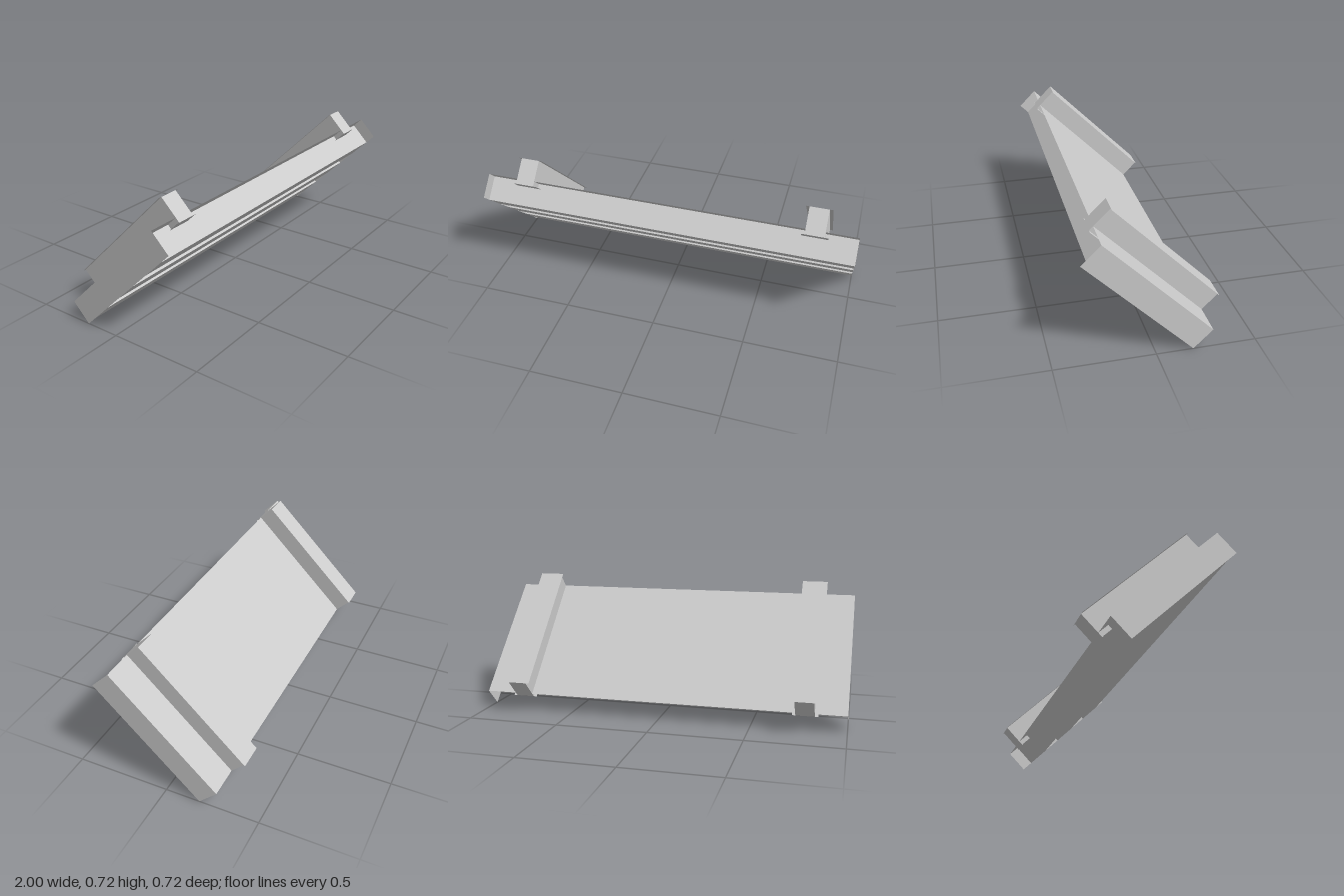
import * as THREE from 'three';

const LENGTH = 0.769;   // along the slope
const SKIN = -0.0095;   // depth of the deck sheet
const UNDER = 0.1245;   // depth of the underside
const TOP = -0.1245;    // depth of the outer rail flange
const LOWER = 0.0185;   // depth of the inner rail flange

export function createModel() {
  const model = new THREE.Group();
  const solid = new THREE.MeshStandardMaterial({ color: 0xcccccc, flatShading: true });
  const sheet = new THREE.MeshStandardMaterial({ color: 0xcccccc, flatShading: true, side: THREE.DoubleSide });

  // Everything is laid out flat (y along the slope, z downwards through the panel), then tilted
  const panel = new THREE.Group();
  panel.name = 'tiltedPanel';
  panel.rotation.x = Math.PI / 4;
  panel.position.y = 0.36;
  model.add(panel);

  const add = (parent, name, geometry, material, x, y, z) => {
    const mesh = new THREE.Mesh(geometry, material);
    mesh.name = name;
    mesh.position.set(x, y, z);
    parent.add(mesh);
    return mesh;
  };
  const depth = UNDER - SKIN;
  const middle = (UNDER + SKIN) / 2;

  // Thin deck, facing up and back
  add(panel, 'deck', new THREE.PlaneGeometry(2, LENGTH).rotateY(Math.PI), sheet, 0, 0, SKIN);

  // Three square beams across the underside
  for (const y of [-0.25, 0, 0.25]) {
    add(panel, 'crossBeam', new THREE.BoxGeometry(2, 0.134, depth), solid, 0, y, middle);
  }

  for (const side of [-1, 1]) {
    // Thin end plate
    add(panel, side > 0 ? 'leftEndPlate' : 'rightEndPlate',
      new THREE.PlaneGeometry(depth, LENGTH).rotateY(side * Math.PI / 2), sheet, side, 0, middle);

    // I-section rail: thick web with a thin flange on each edge
    const rail = new THREE.Group();
    rail.name = side > 0 ? 'leftRail' : 'rightRail';
    rail.position.x = side * 0.783;
    panel.add(rail);
    add(rail, 'railWeb', new THREE.BoxGeometry(0.1, LENGTH, LOWER - TOP), solid, 0, 0, (LOWER + TOP) / 2);
    add(rail, 'outerFlange', new THREE.PlaneGeometry(0.136, LENGTH).rotateY(Math.PI), sheet, 0, 0, TOP);
    add(rail, 'innerFlange', new THREE.PlaneGeometry(0.136, LENGTH), sheet, 0, 0, LOWER);
  }
  return model;
}
